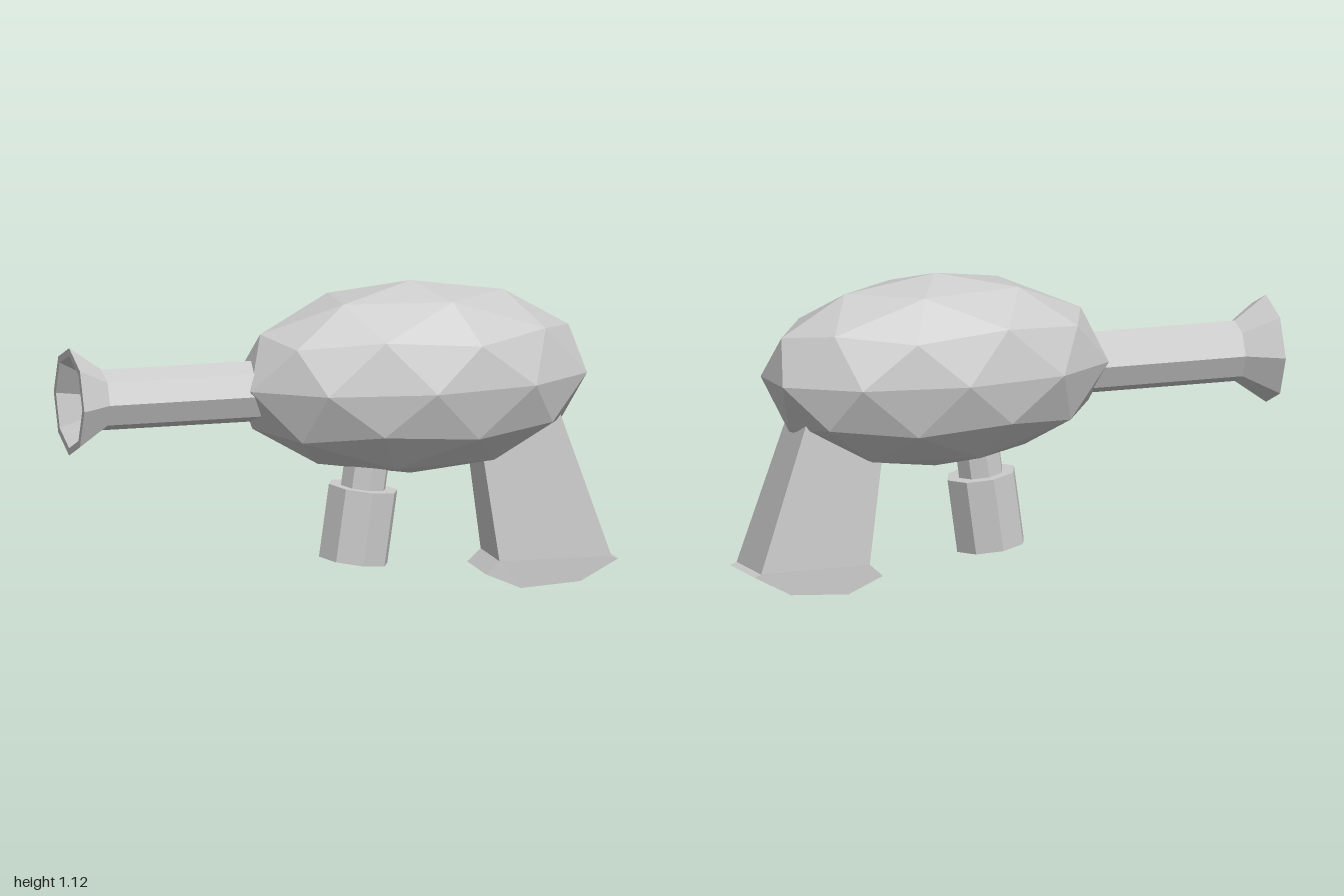
import * as THREE from 'three';

const material = new THREE.MeshStandardMaterial({ color: 0xcccccc, flatShading: true });

// Faceted mesh with a plain name
function part(name, geometry) {
  const g = geometry.index ? geometry.toNonIndexed() : geometry;
  g.computeVertexNormals();
  const mesh = new THREE.Mesh(g, material);
  mesh.name = name;
  return mesh;
}

// Eight-sided turned shape from [radius, height] pairs
function octLathe(points) {
  return new THREE.LatheGeometry(points.map(([r, h]) => new THREE.Vector2(r, h)), 8);
}

export function createModel() {
  const group = new THREE.Group();
  group.name = 'toyRayGun';

  // Body: icosphere with a vertex on top, stretched along x
  const bodyGeo = new THREE.IcosahedronGeometry(1, 1);
  bodyGeo.rotateZ(-Math.atan(2 / (1 + Math.sqrt(5))));
  bodyGeo.scale(0.655, 0.35, 0.35);
  const body = part('body', bodyGeo);
  body.position.set(0.265, 0.77, 0);
  group.add(body);

  // Barrel with a hollow flared muzzle, pointing to -x
  const barrelGeo = octLathe([
    [0, 0.2], [0.11, 0.2], [0.11, 0.88], [0.195, 1],
    [0.168, 1], [0.085, 0.88], [0, 0.88],
  ]);
  barrelGeo.rotateZ(Math.PI / 2);
  const barrel = part('barrel', barrelGeo);
  barrel.position.y = 0.75;
  group.add(barrel);

  // Canister and its neck, hanging at a slight tilt
  const canister = new THREE.Group();
  canister.name = 'canister';
  canister.add(part('canisterTank', new THREE.CylinderGeometry(0.128, 0.128, 0.265, 8)));
  const neck = part('canisterNeck', new THREE.CylinderGeometry(0.083, 0.083, 0.2, 8));
  neck.position.y = 0.2;
  canister.add(neck);
  canister.position.set(0.071, 0.248, 0);
  canister.rotation.z = THREE.MathUtils.degToRad(-8);
  group.add(canister);

  // Grip: side outline extruded across z, narrowing towards the top
  const outline = [
    [0.48, 0.66], [0.56, 0.105], [0.51, 0.06], [0.64, 0.003],
    [0.86, 0.016], [1.0, 0.09], [0.975, 0.1], [0.78, 0.66],
  ].map(([x, y]) => new THREE.Vector2(x, y));
  const gripGeo = new THREE.ExtrudeGeometry(new THREE.Shape(outline), { depth: 2, bevelEnabled: false });
  gripGeo.translate(0, 0, -1);
  const pos = gripGeo.attributes.position;
  for (let i = 0; i < pos.count; i++) {
    const taper = Math.max(0, pos.getY(i) - 0.1) * 0.05;
    pos.setZ(i, pos.getZ(i) * (0.12 - taper));
  }
  group.add(part('grip', gripGeo));

  return group;
}
